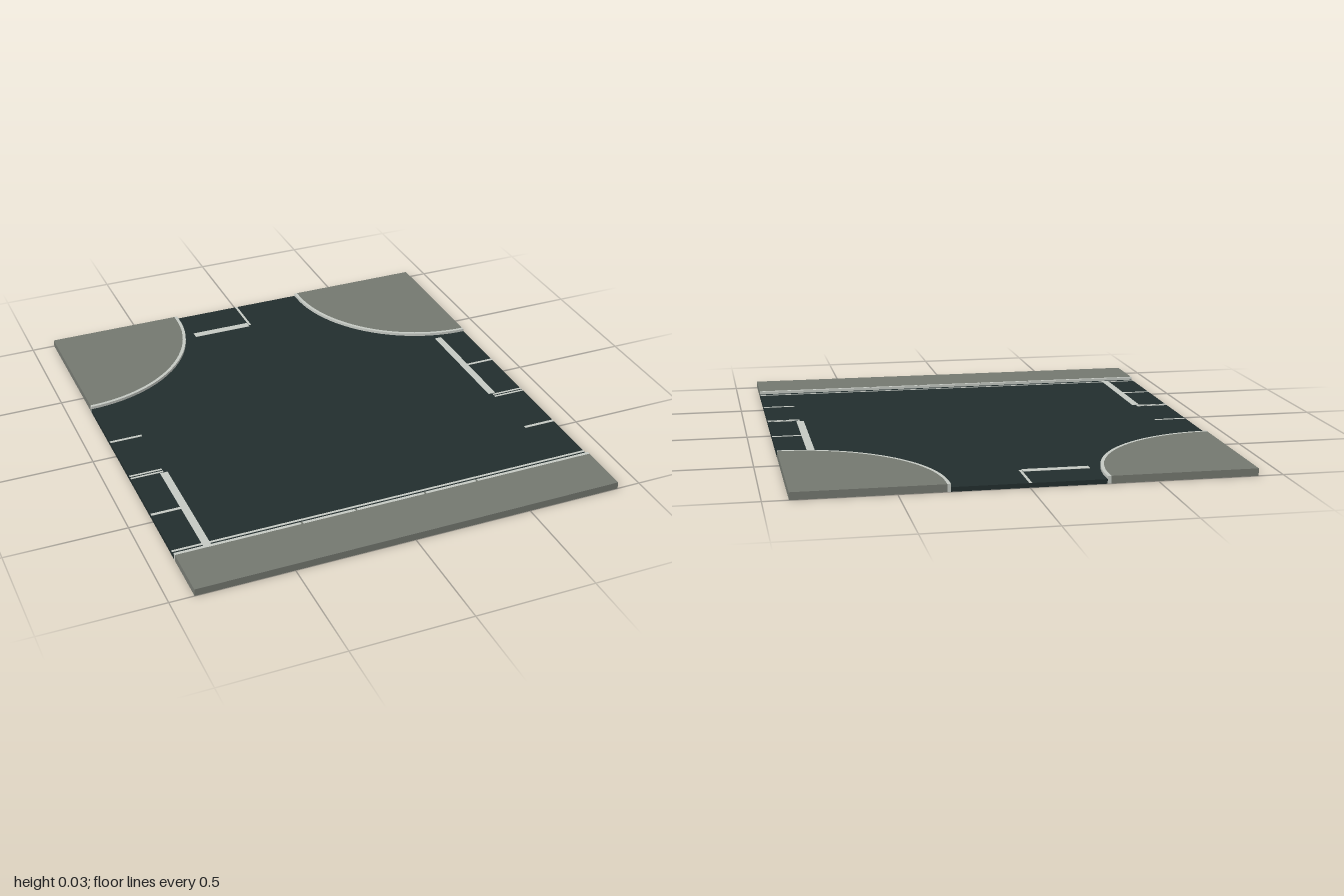
import * as THREE from 'three';

const asphalt = new THREE.MeshStandardMaterial({ name: 'asphalt', color: 0x222e2e });
const concrete = new THREE.MeshStandardMaterial({ name: 'concrete', color: 0x747870 });
const paint = new THREE.MeshStandardMaterial({ name: 'pale paint', color: 0xc5c9c3 });

const W = 0.9, ROAD = 0.018, WALK = 0.03, R = 0.6, CURB = 0.014;

export function createModel() {
  const group = new THREE.Group();

  const add = (name, geometry, material) => {
    const mesh = new THREE.Mesh(geometry, material);
    mesh.name = name;
    group.add(mesh);
    return mesh;
  };
  // Box from its x, y and z ranges
  const box = (name, material, x0, x1, y0, y1, z0, z1) =>
    add(name, new THREE.BoxGeometry(x1 - x0, y1 - y0, z1 - z0), material)
      .position.set((x0 + x1) / 2, (y0 + y1) / 2, (z0 + z1) / 2);
  // Flat slab from a ground outline of [x, -z] points
  const slab = (name, material, points, height) => {
    const shape = new THREE.Shape(points.map(([x, y]) => new THREE.Vector2(x, y)));
    const geometry = new THREE.ExtrudeGeometry(shape, { depth: height, bevelEnabled: false });
    add(name, geometry.rotateX(-Math.PI / 2), material);
  };
  // Rounded corner line, from the back edge round to the side edge
  const cornerArc = (side, r) => {
    const points = [[side * (W - r), 1]];
    for (let i = 0; i <= 24; i++) {
      const t = (i / 24) * Math.PI / 2;
      points.push([side * (W - r * Math.cos(t)), 0.97 - r * Math.sin(t)]);
    }
    return points;
  };

  // Road between the two corners and the front pavement
  slab('road', asphalt, [
    ...cornerArc(-1, R), [-W, -0.76], [W, -0.76], ...cornerArc(1, R).reverse(),
  ], ROAD);

  // Back corner pavements with curved curbs
  for (const [side, label] of [[-1, 'right'], [1, 'left']]) {
    slab(label + 'CornerPavement', concrete, [...cornerArc(side, R - CURB), [side * W, 1]], WALK);
    slab(label + 'CornerCurb', paint,
      [...cornerArc(side, R), ...cornerArc(side, R - CURB).reverse()], WALK);
  }

  // Front pavement and its curb, with narrow joints
  box('frontPavement', concrete, -W, W, 0, WALK, 0.774, 1);
  box('frontCurb', paint, -W, W, 0, WALK, 0.76, 0.774);
  for (const x of [-0.38, -0.15, 0.15, 0.38])
    box('curbJoint', concrete, x - 0.004, x + 0.004, WALK, WALK + 0.0005, 0.76, 0.774);

  // Road markings: x range, z range
  const markings = [
    ['backStopBar', -0.275, -0.01, -0.833, -0.798],
    ['backCentreLine', -0.008, 0.003, -1, -0.81],
    ['rightStopBar', -0.778, -0.746, 0.214, 0.75],
    ['leftStopBar', 0.746, 0.778, -0.357, 0.178],
    ['frontEdgeLine', -W, W, 0.727, 0.738],
    ['rightLaneLine', -W, -0.762, -0.093, -0.08],
    ['rightLaneLine', -W, -0.778, 0.469, 0.483],
    ['leftLaneLine', 0.778, W, -0.093, -0.08],
    ['leftLaneLine', 0.762, W, 0.469, 0.483],
  ];
  for (const z of [0.183, 0.2]) {
    markings.push(['rightCentreLine', -W, -0.762, z, z + 0.01]);
    markings.push(['leftCentreLine', 0.762, W, z, z + 0.01]);
  }
  for (const [name, x0, x1, z0, z1] of markings)
    box(name, paint, x0, x1, ROAD, ROAD + 0.001, z0, z1);

  return group;
}
